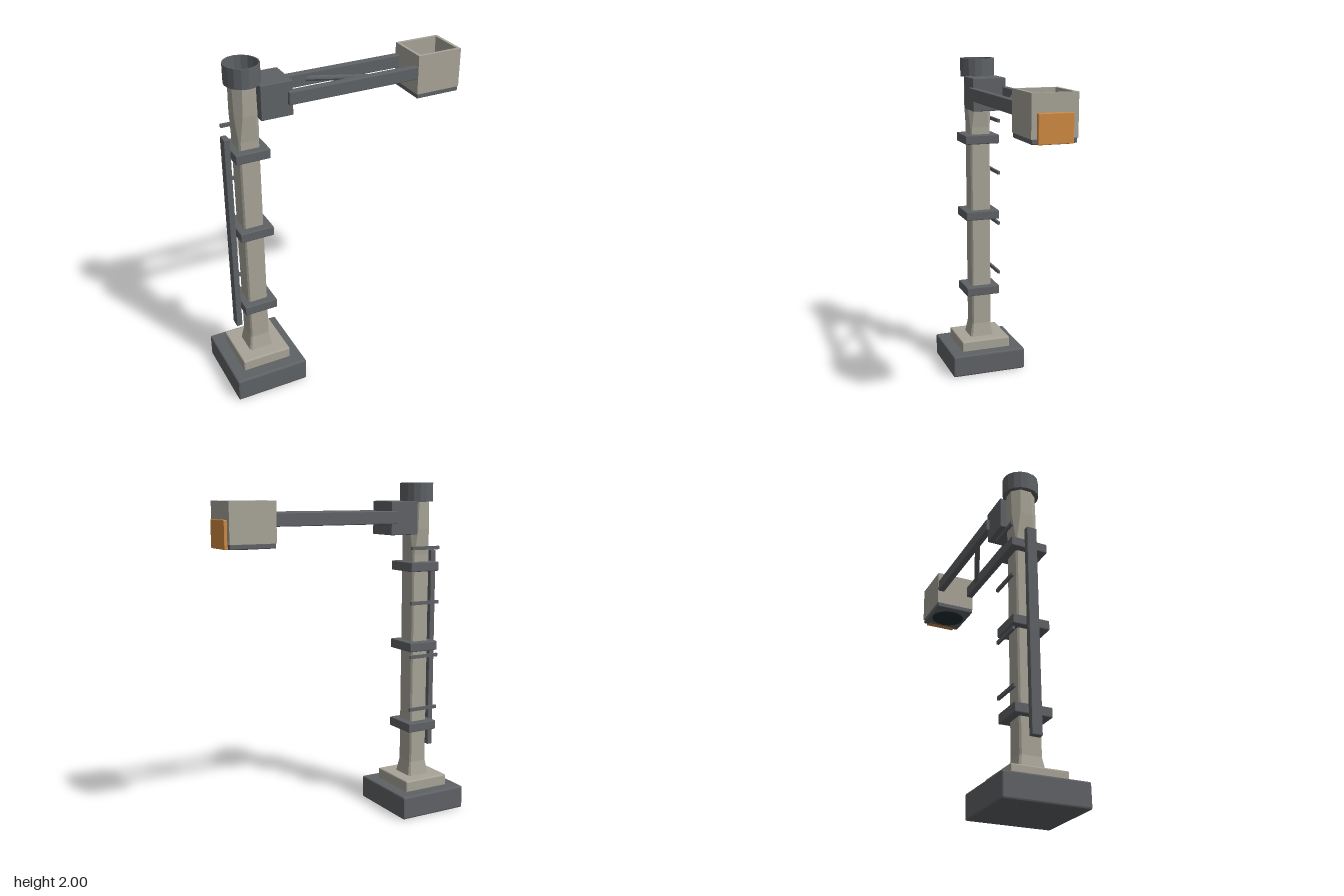
import * as THREE from 'three';
import { RoundedBoxGeometry } from 'three/addons/geometries/RoundedBoxGeometry.js';

const material = (color) =>
  new THREE.MeshStandardMaterial({ color, flatShading: true, side: THREE.DoubleSide });

const CX = -0.53; // column axis
const SQUASH = 0.92; // round parts are slightly narrower in x

// Chamfered-square sections [y, half x, half z, flat fraction] joined into a closed tube
function loft(sections) {
  const rings = sections.map(([y, hx, hz, k]) =>
    [[1, -k], [1, k], [k, 1], [-k, 1], [-1, k], [-1, -k], [-k, -1], [k, -1]]
      .map(([u, v]) => [u * hx, y, v * hz]));
  const pos = [];
  for (let r = 0; r < rings.length - 1; r++) {
    for (let i = 0; i < 8; i++) {
      const j = (i + 1) % 8;
      const a = rings[r][i], b = rings[r][j], c = rings[r + 1][j], d = rings[r + 1][i];
      pos.push(...a, ...d, ...b, ...b, ...d, ...c);
    }
  }
  const geometry = new THREE.BufferGeometry();
  geometry.setAttribute('position', new THREE.Float32BufferAttribute(pos, 3));
  geometry.computeVertexNormals();
  return geometry;
}

export function createModel() {
  const group = new THREE.Group();
  const dark = material(0x5f6266);
  const stone = material(0xa8a498);
  const orange = material(0xd08a42);
  const glass = material(0x222d31);

  const add = (name, geometry, mat, x = 0, y = 0, z = 0) => {
    const mesh = new THREE.Mesh(geometry, mat);
    mesh.name = name;
    mesh.position.set(x, y, z);
    group.add(mesh);
    return mesh;
  };
  // Box from its limits, with an optional softened edge
  const box = (name, mat, [x0, x1], [y0, y1], [z0, z1], bevel = 0) => {
    const size = [x1 - x0, y1 - y0, z1 - z0];
    const geometry = bevel
      ? new RoundedBoxGeometry(...size, 1, bevel)
      : new THREE.BoxGeometry(...size);
    return add(name, geometry, mat, (x0 + x1) / 2, (y0 + y1) / 2, (z0 + z1) / 2);
  };

  // Foot
  box('base', dark, [-0.75, -0.31], [0, 0.14], [-0.24, 0.24], 0.01);
  box('plinth', stone, [-0.678, -0.382], [0.13, 0.205], [-0.16, 0.16], 0.008);

  // Column, flared at the foot and widening to an octagon at the head
  add('column', loft([
    [0.2, 0.074, 0.08, 0.85],
    [0.29, 0.058, 0.063, 0.85],
    [1.58, 0.058, 0.063, 0.85],
    [1.73, 0.069, 0.076, 0.5],
    [1.895, 0.069, 0.076, 0.42],
  ]), stone, CX);

  // Open cup on top of the column
  const cup = [[0, 1.89], [0.105, 1.89], [0.105, 2], [0.099, 2], [0.099, 1.9], [0, 1.9]]
    .map(([r, y]) => new THREE.Vector2(r, y));
  add('topCup', new THREE.LatheGeometry(cup, 16), dark, CX).scale.x = SQUASH;
  add('topCupLens', new THREE.CylinderGeometry(0.072, 0.072, 0.012, 16), glass, CX, 1.903)
    .scale.x = SQUASH;

  // Clamps, cable duct and rear rungs
  for (const y of [0.523, 1.025, 1.508]) {
    box('clamp', dark, [-0.627, -0.43], [y - 0.028, y + 0.028], [-0.108, 0.108], 0.005);
  }
  box('cableDuct', dark, [-0.66, -0.625], [0.375, 1.6], [-0.03, 0.03], 0.004);
  for (const y of [0.64, 0.967, 1.293, 1.62]) {
    box('rung', dark, [-0.627, -0.43], [y - 0.01, y + 0.01], [-0.113, -0.099]);
  }

  // Arm: mounting block, twin beams and a diagonal brace
  box('armMount', dark, [-0.472, -0.29], [1.7, 1.895], [-0.102, 0.102], 0.004);
  for (const side of [-1, 1]) {
    box('armBeam', dark, [-0.32, 0.5], [1.765, 1.84],
      [side * 0.102 - 0.02, side * 0.102 + 0.02], 0.005);
  }
  const start = new THREE.Vector3(-0.14, 1.802, -0.1);
  const end = new THREE.Vector3(0.32, 1.802, 0.095);
  add('armBrace', new THREE.TubeGeometry(new THREE.LineCurve3(start, end), 1, 0.016, 8), dark);

  // Open-topped lamp housing
  const wall = new THREE.Shape()
    .moveTo(0.455, -0.125).lineTo(0.727, -0.125).lineTo(0.727, 0.125).lineTo(0.455, 0.125);
  wall.holes.push(new THREE.Path()
    .moveTo(0.473, -0.106).lineTo(0.473, 0.106).lineTo(0.709, 0.106).lineTo(0.709, -0.106));
  const housing = new THREE.ExtrudeGeometry(wall, { depth: 0.225, bevelEnabled: false });
  housing.rotateX(-Math.PI / 2);
  add('lampHousing', housing, stone, 0, 1.677);
  box('lampBottom', dark, [0.457, 0.725], [1.65, 1.68], [-0.122, 0.122], 0.005);
  add('lampLens', new THREE.CylinderGeometry(0.106, 0.106, 0.04, 16), glass, 0.591, 1.668)
    .scale.x = SQUASH;
  box('endPanel', orange, [0.7, 0.745], [1.65, 1.805], [-0.095, 0.095], 0.004);

  return group;
}
